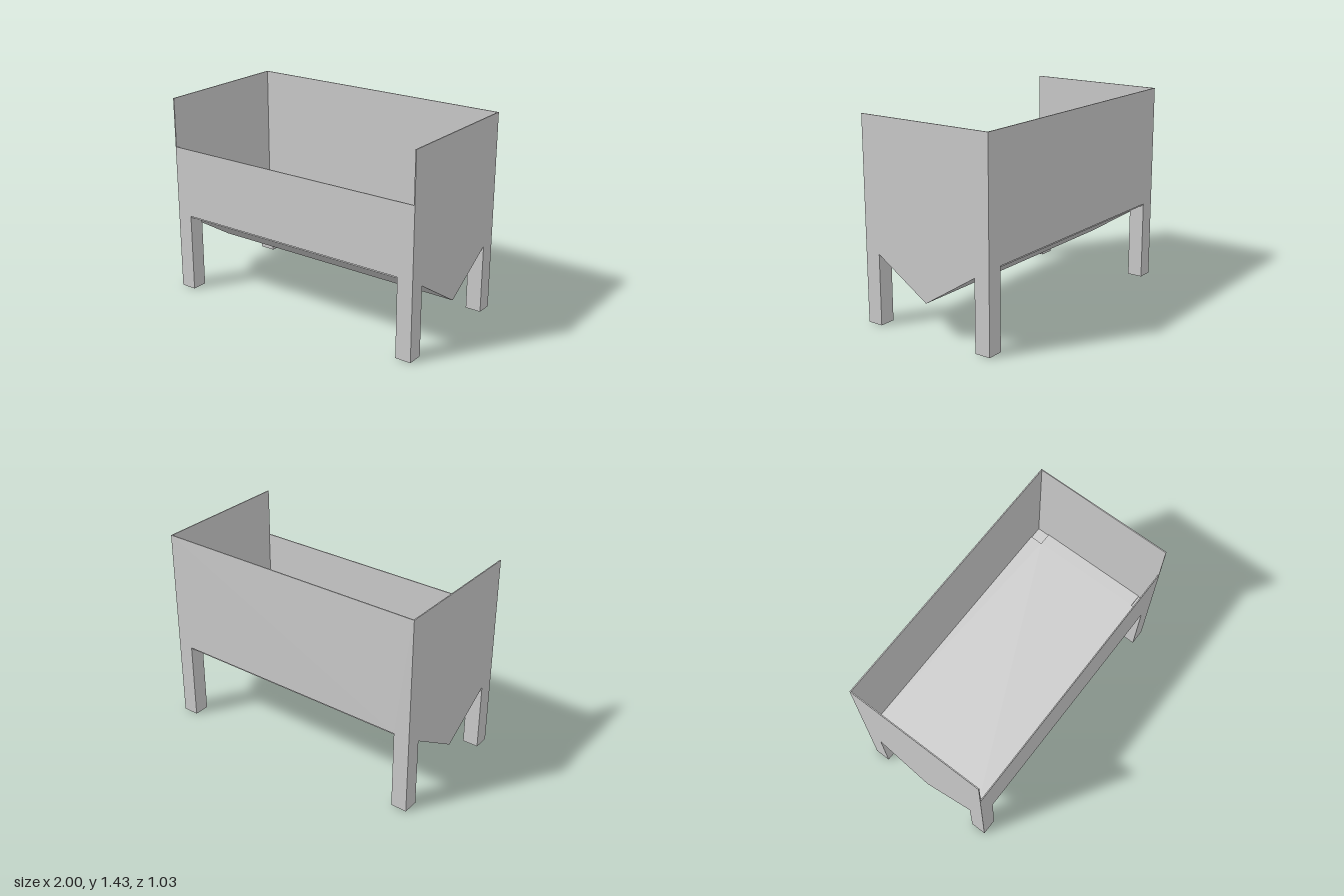
import * as THREE from 'three';

const W = 1, D = 0.513, H = 1.43;    // half width, half depth, height
const T = 0.0075;                    // panel thickness
const LEG_X = 0.885, LEG_Z = 0.4;    // inner faces of the legs
const FRONT_H = 1.075, APRON = 0.572;
const RIDGE = 0.245, SLOPE = 0.6375; // V-shaped underside
const LEG_TOP = 0.565, FLOOR = 0.577, NOTCH = 0.1;

const material = new THREE.MeshStandardMaterial({ color: 0xcccccc });

function extrude(points, depth) {
  const shape = new THREE.Shape(points.map(([x, y]) => new THREE.Vector2(x, y)));
  return new THREE.ExtrudeGeometry(shape, { depth, bevelEnabled: false });
}

export function createModel() {
  const group = new THREE.Group();
  const add = (name, geometry) => {
    const mesh = new THREE.Mesh(geometry, material);
    mesh.name = name;
    group.add(mesh);
  };
  const underside = (z) => RIDGE + SLOPE * Math.abs(z);

  // Side panels: full height, V-shaped lower edge between the leg strips
  for (const [name, x] of [['leftSidePanel', W - T], ['rightSidePanel', -W]]) {
    const geometry = extrude([
      [-D, 0], [-LEG_Z, 0], [-LEG_Z, underside(LEG_Z)], [0, RIDGE],
      [LEG_Z, underside(LEG_Z)], [LEG_Z, 0], [D, 0], [D, H], [-D, H],
    ], T);
    add(name, geometry.rotateY(-Math.PI / 2).translate(x + T, 0, 0));
  }

  // Front and back panels, cut out between the leg strips
  const w = W - T;
  for (const [name, top, z] of [['frontPanel', FRONT_H, D - T], ['backPanel', H, -D]]) {
    add(name, extrude([
      [-w, 0], [-LEG_X, 0], [-LEG_X, APRON], [LEG_X, APRON],
      [LEG_X, 0], [w, 0], [w, top], [-w, top],
    ], T).translate(0, 0, z));
  }

  // Legs behind the panel corners
  const lx = W - T - LEG_X, lz = D - T - LEG_Z;
  for (const sx of [1, -1]) {
    for (const sz of [1, -1]) {
      const name = (sz > 0 ? 'front' : 'back') + (sx > 0 ? 'Left' : 'Right') + 'Leg';
      add(name, new THREE.BoxGeometry(lx, LEG_TOP, lz)
        .translate(sx * (LEG_X + lx / 2), LEG_TOP / 2, sz * (LEG_Z + lz / 2)));
    }
  }

  // V-shaped base running the full length between the side panels
  const d = D - T, baseTop = LEG_TOP - 0.001;
  const baseZ = (baseTop - RIDGE) / SLOPE;
  add('base', extrude([[-baseZ, baseTop], [0, RIDGE], [baseZ, baseTop]], 2 * w)
    .rotateY(-Math.PI / 2).translate(w, 0, 0));

  // Flat floor with square notches over the legs
  const nx = W - NOTCH, nz = D - NOTCH;
  add('floor', extrude([
    [-nx, -d], [nx, -d], [nx, -nz], [w, -nz], [w, nz], [nx, nz],
    [nx, d], [-nx, d], [-nx, nz], [-w, nz], [-w, -nz], [-nx, -nz],
  ], FLOOR - baseTop + 0.004).rotateX(-Math.PI / 2).translate(0, baseTop - 0.004, 0));

  return group;
}
